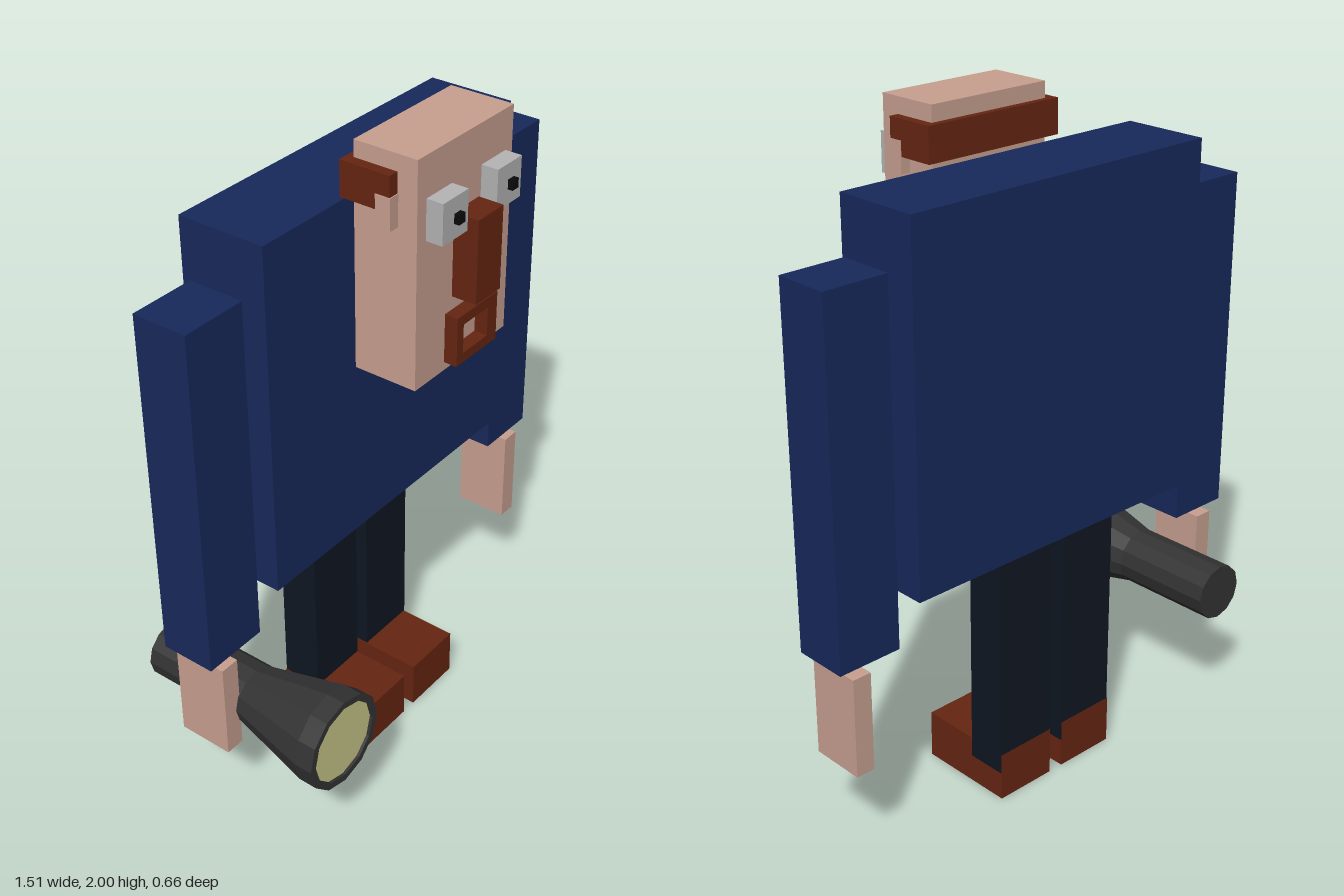
import * as THREE from 'three';

const mat = (color) => new THREE.MeshStandardMaterial({ color, flatShading: true });

export function createModel() {
  const model = new THREE.Group();
  model.name = 'blockyMan';

  const navy = mat(0x17295c), skin = mat(0xc8a090), brown = mat(0x662512), trousers = mat(0x0f1623);
  const eyeGrey = mat(0xb4b4b4), black = mat(0x0a0a0a), rubber = mat(0x333333), glow = mat(0xc8c98a);

  const add = (name, geometry, material, parent = model) => {
    const mesh = new THREE.Mesh(geometry, material);
    mesh.name = name;
    parent.add(mesh);
    return mesh;
  };
  // Box given by its limits on each axis
  const box = (name, material, [x0, x1], [y0, y1], [z0, z1], parent) => {
    const g = new THREE.BoxGeometry(x1 - x0, y1 - y0, z1 - z0);
    add(name, g, material, parent).position.set((x0 + x1) / 2, (y0 + y1) / 2, (z0 + z1) / 2);
  };

  box('torso', navy, [-0.525, 0.525], [0.79, 1.84], [-0.225, 0.042]);

  // Arms and hands
  for (const [side, s] of [['left', 1], ['right', -1]]) {
    const span = (a, b) => (s > 0 ? [a, b] : [-b, -a]);
    box(side + 'Arm', navy, span(0.555, 0.755), [0.64, 1.69], [-0.172, -0.005]);
    box(side + 'Hand', skin, span(0.655, 0.714), [0.305, 0.61], [-0.172, -0.003]);
  }

  // Legs and shoes
  for (const [side, x] of [['left', 0.016], ['right', -0.23]]) {
    box(side + 'Shoe', brown, [x, x + 0.197], [0, 0.15], [-0.205, 0.105]);
    box(side + 'Leg', trousers, [x + 0.003, x + 0.2], [0.09, 0.82], [-0.204, -0.08]);
  }

  // Head with a band of hair and ears
  const head = new THREE.Group();
  head.name = 'head';
  model.add(head);
  box('face', skin, [-0.202, 0.205], [1.35, 2], [0.062, 0.255], head);
  box('hair', brown, [-0.233, 0.233], [1.852, 1.953], [0.042, 0.195], head);
  box('leftEar', skin, [0.2, 0.235], [1.805, 1.895], [0.152, 0.198], head);
  box('rightEar', skin, [-0.235, -0.2], [1.805, 1.895], [0.152, 0.198], head);
  box('nose', brown, [-0.047, 0.061], [1.56, 1.8], [0.25, 0.33], head);

  // Eyes with pupils
  for (const [side, x] of [['left', 0.122], ['right', -0.112]]) {
    box(side + 'Eye', eyeGrey, [x - 0.053, x + 0.053], [1.77, 1.885], [0.25, 0.305], head);
    box(side + 'Pupil', black, [x + 0.007 - 0.013, x + 0.007 + 0.013], [1.813, 1.84], [0.3, 0.32], head)
  }

  // Open mouth frame
  const rect = (target, x0, x1, y0, y1) =>
    target.moveTo(x0, y0).lineTo(x1, y0).lineTo(x1, y1).lineTo(x0, y1).closePath();
  const lips = rect(new THREE.Shape(), -0.075, 0.105, 1.375, 1.52);
  lips.holes.push(rect(new THREE.Path(), -0.047, 0.063, 1.404, 1.49));
  add('mouth', new THREE.ExtrudeGeometry(lips, { depth: 0.045, bevelEnabled: false }), brown, head)
    .position.z = 0.25;

  // Torch: handle, flared head, rim and lens
  const torch = new THREE.Group();
  torch.name = 'torch';
  torch.position.set(-0.585, 0.433, 0);
  model.add(torch);
  const profile = [[0, -0.33], [0.087, -0.33], [0.087, 0], [0.145, 0.255], [0.145, 0.312], [0.124, 0.312], [0.124, 0.3]]
    .map(([r, y]) => new THREE.Vector2(r, y));
  add('torchBody', new THREE.LatheGeometry(profile, 12).rotateX(Math.PI / 2), rubber, torch);
  add('torchLens', new THREE.CircleGeometry(0.124, 12), glow, torch).position.z = 0.303;

  return model;
}
